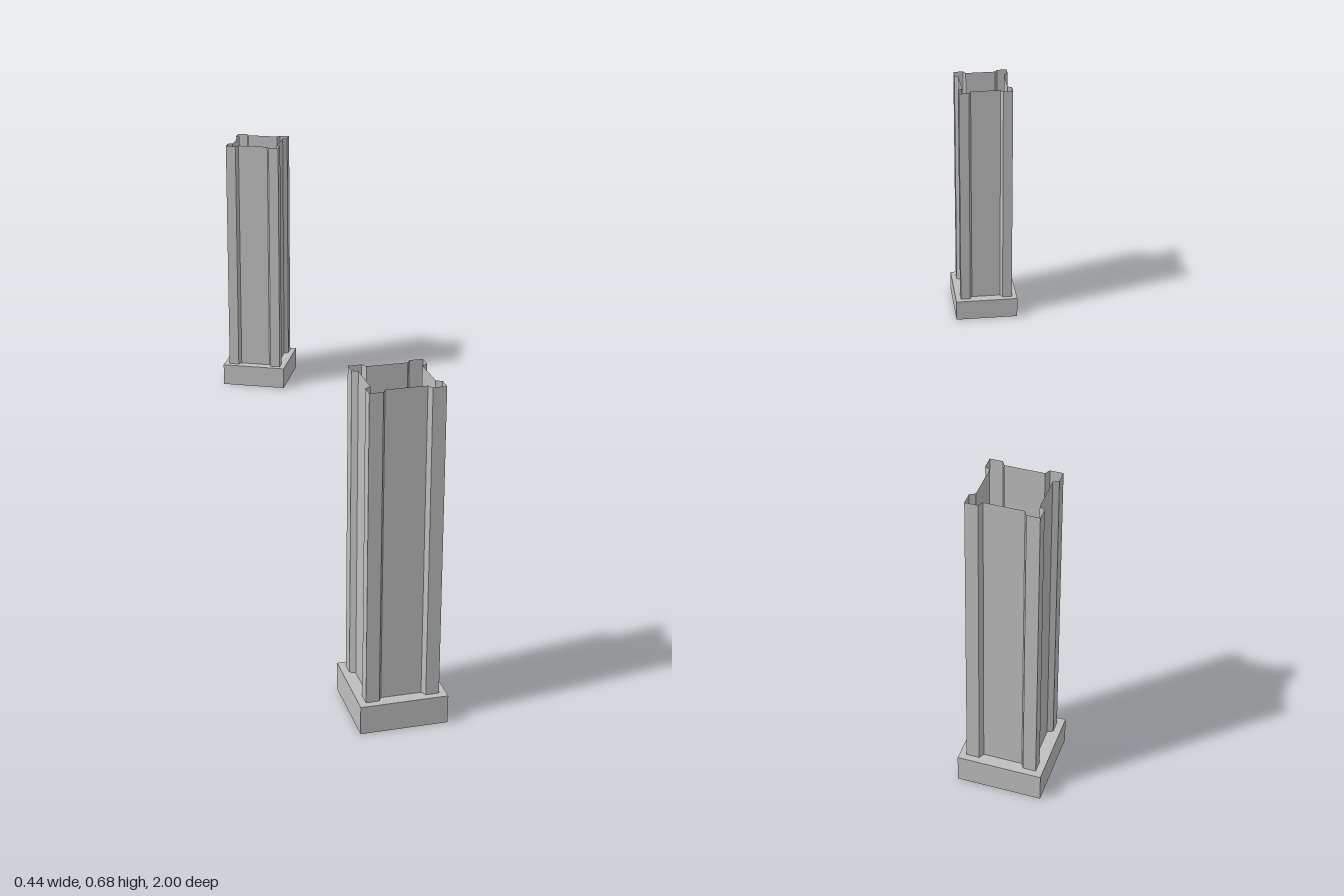
import * as THREE from 'three';

const BASE_HALF = 0.0855;
const BASE_TOP = 0.057;
const HEIGHT = 0.678;
const POST = 0.0715;       // outer face of the corner posts
const POST_EDGE = 0.0455;  // inner edge of a post on its outer face
const PANEL = 0.0605;      // recessed panel face
const PANEL_EDGE = 0.0395; // half width of the flat panel

const concrete = new THREE.MeshStandardMaterial({ color: 0xbfbfbf, side: THREE.DoubleSide, flatShading: true });
concrete.name = 'concrete grey';

// Repeats one side's [x, z] points around the four sides.
function fourSides(points) {
  const loop = [];
  let side = points;
  for (let i = 0; i < 4; i++) {
    loop.push(...side);
    side = side.map(([x, z]) => [z, -x]);
  }
  return loop;
}

// Open-ended vertical wall following a closed loop.
function wall(loop, y0, y1) {
  const pos = [];
  loop.forEach(([x, z], i) => {
    const [u, w] = loop[(i + 1) % loop.length];
    pos.push(x, y0, z, u, y0, w, u, y1, w, x, y0, z, u, y1, w, x, y1, z);
  });
  const g = new THREE.BufferGeometry();
  g.setAttribute('position', new THREE.Float32BufferAttribute(pos, 3));
  g.computeVertexNormals();
  return g;
}

// Flat square ledge with a square opening.
function ledge(outer, inner, y) {
  const square = (h) => [[-h, -h], [h, -h], [h, h], [-h, h]].map(([x, z]) => new THREE.Vector2(x, z));
  const shape = new THREE.Shape(square(outer));
  shape.holes.push(new THREE.Path(square(inner).reverse()));
  return new THREE.ShapeGeometry(shape).rotateX(-Math.PI / 2).translate(0, y, 0);
}

function createPillar(name, x, z, angle) {
  const pillar = new THREE.Group();
  pillar.name = name;
  const add = (partName, geometry) => {
    const mesh = new THREE.Mesh(geometry, concrete);
    mesh.name = partName;
    pillar.add(mesh);
  };
  // hollow plinth, open underneath
  add('plinthWalls', wall(fourSides([[-BASE_HALF, BASE_HALF]]), 0, BASE_TOP));
  add('plinthLedge', ledge(BASE_HALF, PANEL, BASE_TOP));
  // hollow shaft with corner posts and recessed panels
  add('shaft', wall(fourSides([
    [-POST, POST], [-POST_EDGE, POST], [-PANEL_EDGE, PANEL], [PANEL_EDGE, PANEL], [POST_EDGE, POST],
  ]), BASE_TOP, HEIGHT));
  pillar.position.set(x, 0, z);
  pillar.rotation.y = THREE.MathUtils.degToRad(angle);
  return pillar;
}

export function createModel() {
  const model = new THREE.Group();
  model.name = 'gatePillars';
  model.add(createPillar('frontPillar', -0.1325, 0.911, -2.8));
  model.add(createPillar('backPillar', 0.1045, -0.8835, -28.2));
  return model;
}
